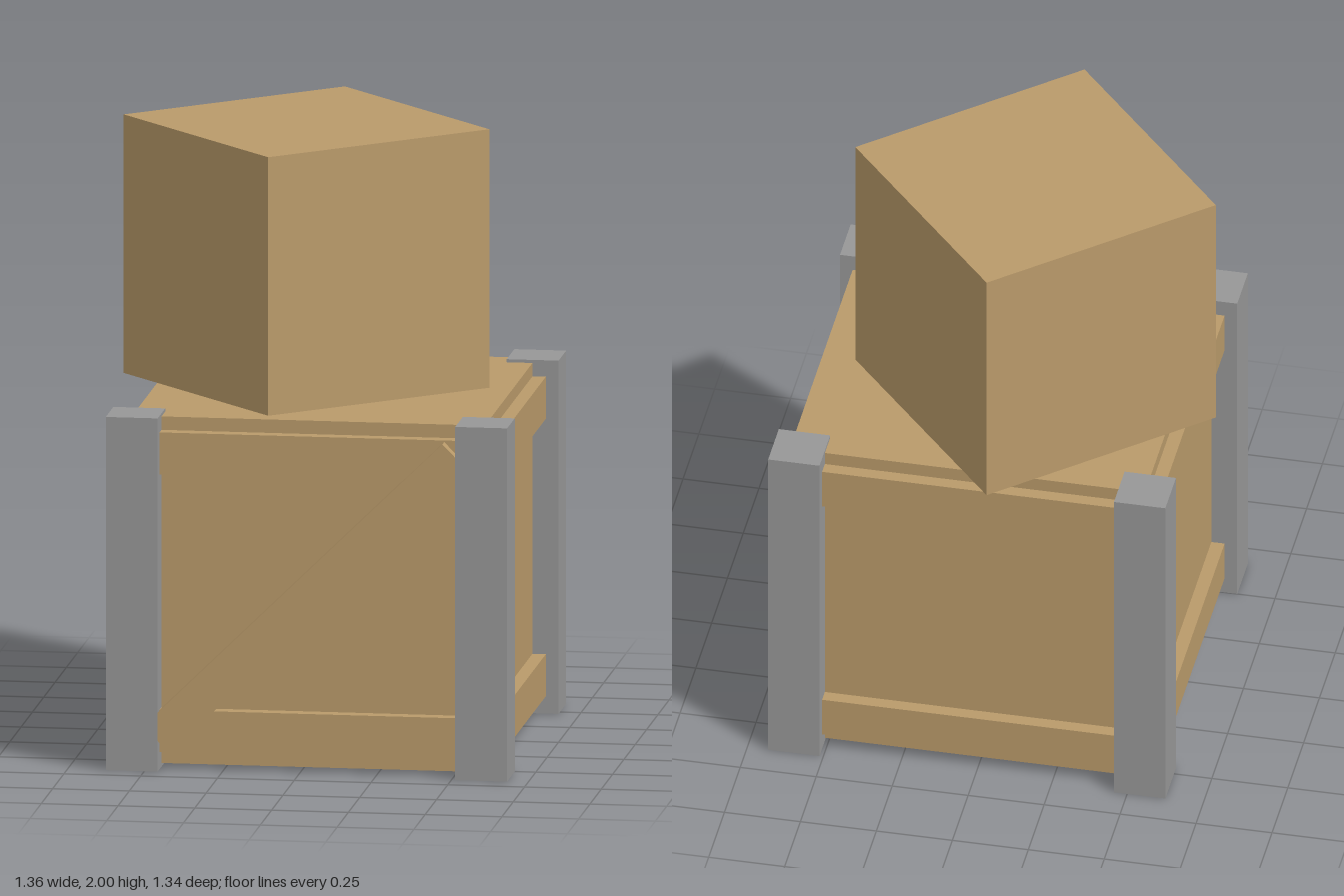
import * as THREE from 'three';

export function createModel() {
  const model = new THREE.Group();
  model.name = 'stackedCrates';

  const wood = new THREE.MeshStandardMaterial({ color: 0xb99a6a });
  wood.name = 'wood';
  const metal = new THREE.MeshStandardMaterial({ color: 0x979797 });
  metal.name = 'grey metal';

  const box = (parent, name, material, size, position) => {
    const mesh = new THREE.Mesh(new THREE.BoxGeometry(...size), material);
    mesh.name = name;
    mesh.position.set(...position);
    parent.add(mesh);
    return mesh;
  };

  // Large crate, slightly off centre
  const crate = new THREE.Group();
  crate.name = 'largeCrate';
  crate.position.set(0.028, 0, 0.016);
  model.add(crate);
  box(crate, 'crateBody', wood, [1.137, 1.138, 1.137], [0, 0.581, 0]);

  // Corner posts
  for (const x of [-1, 1]) {
    for (const z of [-1, 1]) {
      box(crate, 'cornerPost', metal, [0.169, 1.16, 0.169], [x * 0.569, 0.58, z * 0.569]);
    }
  }

  // Horizontal slats, low and high on all four sides
  for (const y of [0.126, 1.037]) {
    for (const s of [-1, 1]) {
      box(crate, 'slat', wood, [1.1, 0.138, 0.086], [0, y, s * 0.569]);
      box(crate, 'slat', wood, [0.086, 0.138, 1.1], [s * 0.569, y, 0]);
    }
  }

  // Diagonal brace across the front
  const brace = box(crate, 'diagonalBrace', wood, [1.363, 0.121, 0.086], [-0.002, 0.581, 0.609]);
  brace.rotation.z = 0.775;

  // Small crate turned on top
  const small = box(model, 'smallCrate', wood, [0.851, 0.849, 0.851], [-0.081, 1.5755, -0.072]);
  small.rotation.y = -0.846;

  return model;
}
